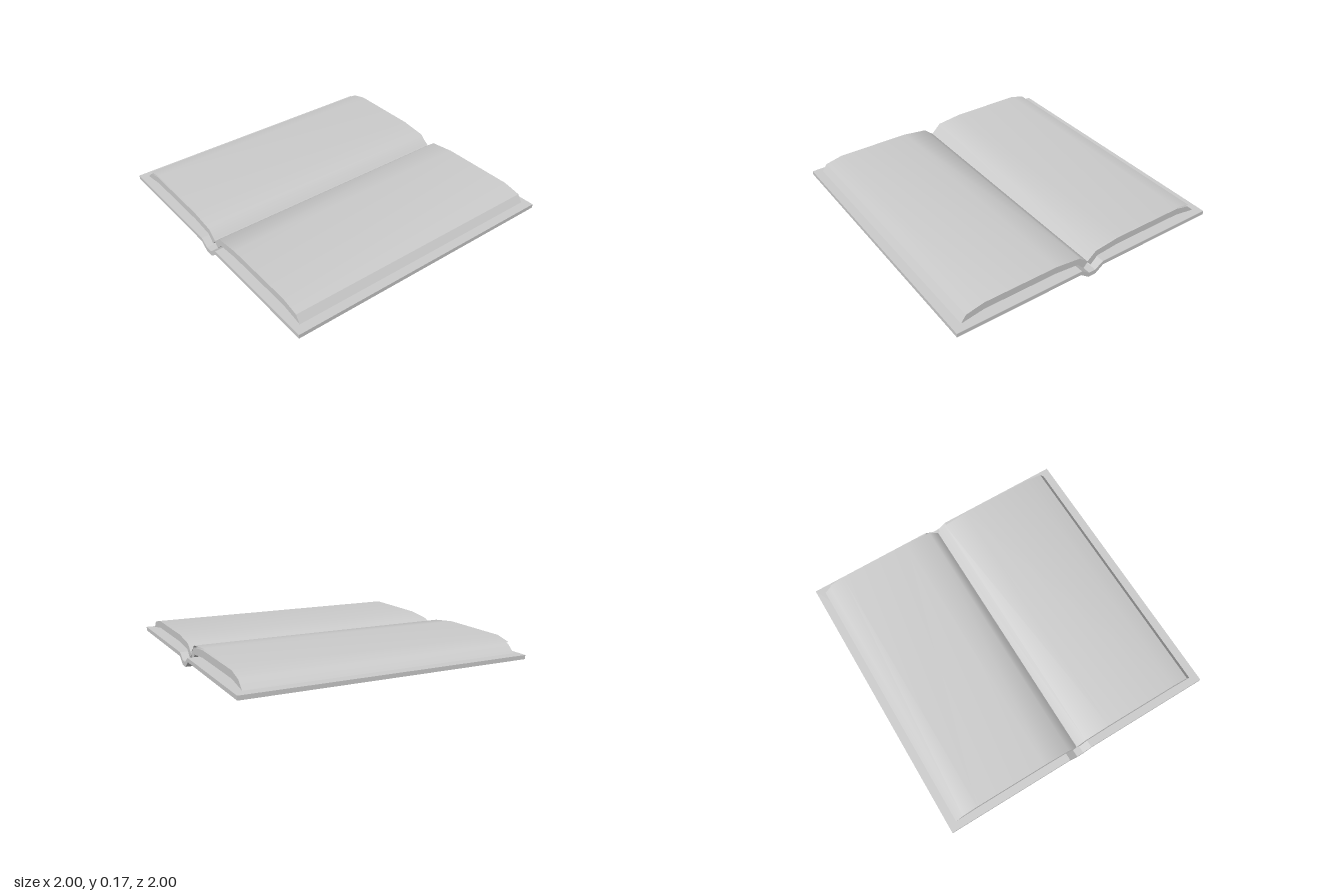
import * as THREE from 'three';
import { toCreasedNormals } from 'three/addons/utils/BufferGeometryUtils.js';

const material = new THREE.MeshStandardMaterial({ color: 0xcccccc });
const sheetMaterial = new THREE.MeshStandardMaterial({ color: 0xcccccc, side: THREE.DoubleSide });

// Extrudes an x-y outline along z, centred on z = 0
function slab(name, outline, depth, crease) {
  const shape = new THREE.Shape(outline.map(([x, y]) => new THREE.Vector2(x, y)));
  const geometry = new THREE.ExtrudeGeometry(shape, { depth, bevelEnabled: false });
  geometry.translate(0, 0, -depth / 2);
  const mesh = new THREE.Mesh(toCreasedNormals(geometry, crease), material);
  mesh.name = name;
  return mesh;
}

// Sweeps an open x-y profile along z into a sheet without thickness
function sheet(name, profile, depth) {
  const geometry = new THREE.PlaneGeometry(1, depth, profile.length - 1, 1);
  geometry.rotateX(-Math.PI / 2);
  const position = geometry.attributes.position;
  for (let i = 0; i < position.count; i++) {
    const [x, y] = profile[i % profile.length];
    position.setXY(i, x, y);
  }
  geometry.computeVertexNormals();
  const mesh = new THREE.Mesh(geometry, sheetMaterial);
  mesh.name = name;
  return mesh;
}

const mirror = (points) => points.map(([x, y]) => [-x, y]).reverse();

export function createModel() {
  const book = new THREE.Group();
  book.name = 'openBook';
  const pageDepth = 1.9;

  // Cover: two flat boards joined by a sunken spine
  const coverBottom = [[0.03, 0], [0.09, 0.045], [1, 0.045]];
  const coverTop = [[1, 0.073], [0.085, 0.073], [0.025, 0.032]];
  const halfCover = [...coverBottom, ...coverTop];
  book.add(slab('cover', [...halfCover, ...mirror(halfCover)], 2, 0.3));

  // Page blocks: arched slabs that meet in the gutter
  const pageBottom = [[0, 0.07], [0.03, 0.037], [0.08, 0.088], [0.25, 0.105], [0.78, 0.105]];
  const pageTop = [[0.25, 0.155], [0.065, 0.132], [0, 0.077]];
  const rightSide = [...pageBottom, [0.94, 0.078], [0.905, 0.128], [0.78, 0.155], ...pageTop];
  const leftSide = [...pageBottom, [0.943, 0.078], [0.887, 0.128], [0.78, 0.155], ...pageTop];
  book.add(slab('pagesLeft', rightSide, pageDepth, 0.7));
  book.add(slab('pagesRight', mirror(leftSide), pageDepth, 0.7));

  // Loose page lying just above one block
  const loosePage = [
    [-0.89, 0.142], [-0.78, 0.169], [-0.26, 0.169], [-0.07, 0.146], [-0.005, 0.083],
  ];
  book.add(sheet('loosePage', loosePage, pageDepth));

  return book;
}
